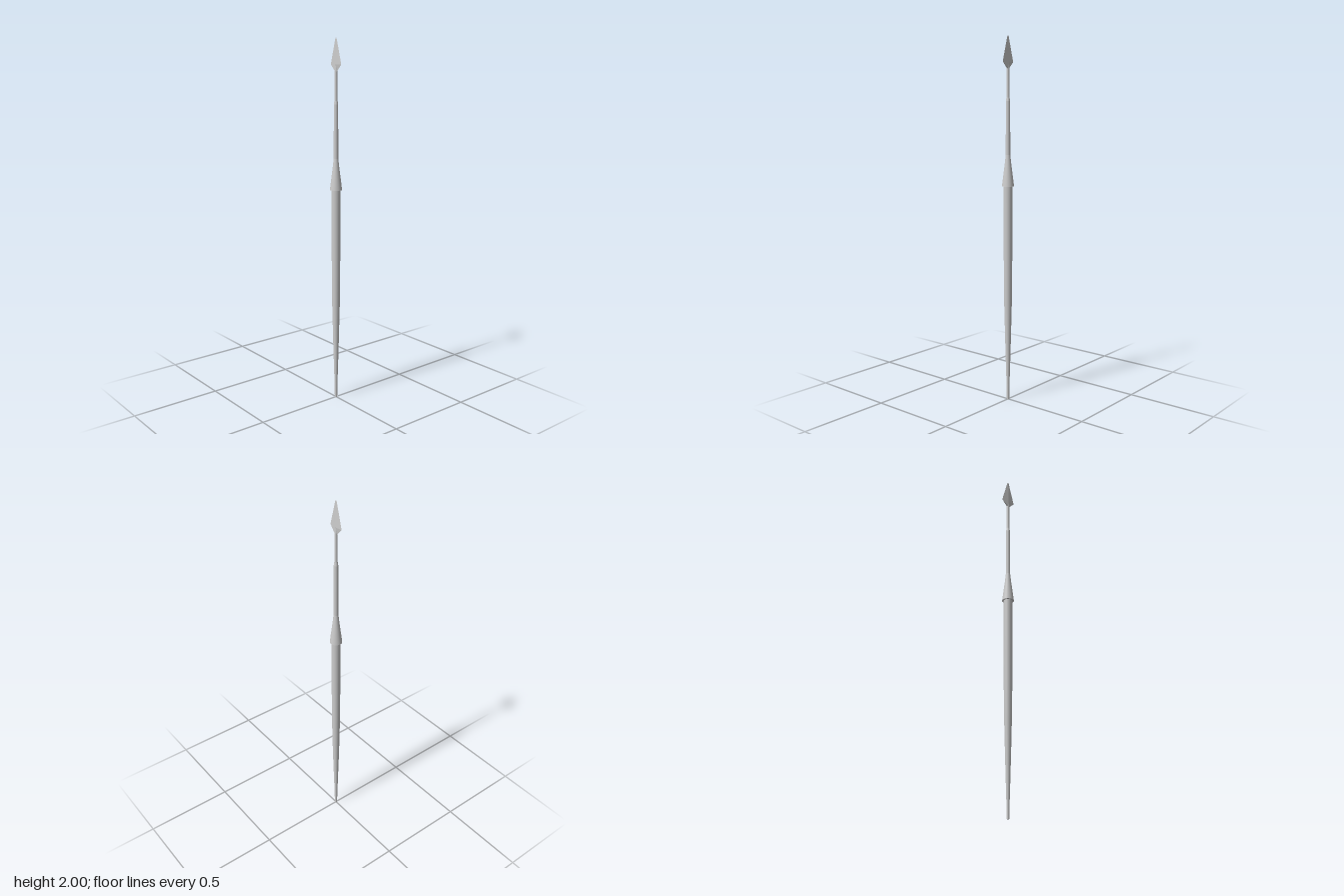
import * as THREE from 'three';

const material = new THREE.MeshStandardMaterial({ color: 0xcccccc });
const SIDES = 32;

// Round part from a [radius, y] profile, rising from bottom to top
function turned(name, profile) {
  const points = profile.map(([r, y]) => new THREE.Vector2(r, y));
  const mesh = new THREE.Mesh(new THREE.LatheGeometry(points, SIDES), material);
  mesh.name = name;
  return mesh;
}

// Flat disc closing an end, facing up or down
function cap(name, radius, y, up) {
  const mesh = new THREE.Mesh(new THREE.CircleGeometry(radius, SIDES), material);
  mesh.rotation.x = up ? -Math.PI / 2 : Math.PI / 2;
  mesh.position.y = y;
  mesh.name = name;
  return mesh;
}

// Flat blade with a diamond section; rows are [half width, half thickness, y]
function blade(rows) {
  const points = rows.map(([w, , y]) => new THREE.Vector2(w, y));
  const geometry = new THREE.LatheGeometry(points, 4);
  const pos = geometry.attributes.position;
  for (let i = 0; i < pos.count; i++) {
    const [w, t] = rows[i % rows.length];
    pos.setZ(i, w > 0 ? pos.getZ(i) * t / w : 0);
  }
  geometry.computeVertexNormals();
  const flat = material.clone();
  flat.flatShading = true;
  const mesh = new THREE.Mesh(geometry, flat);
  mesh.name = 'spearHead';
  return mesh;
}

export function createModel() {
  const group = new THREE.Group();
  group.name = 'spear';

  // Wooden shaft, tapering to a narrow butt
  group.add(
    cap('buttEnd', 0.007, 0, false),
    turned('butt', [[0.007, 0], [0.0085, 0.09]]),
    turned('shaft', [[0.0085, 0.09], [0.012, 0.2], [0.0165, 0.36], [0.021, 0.54],
      [0.023, 0.72], [0.0243, 0.95], [0.025, 1.21]]),
  );

  // Flared socket gripping the top of the shaft
  group.add(
    cap('socketRim', 0.033, 1.2, false),
    turned('socket', [[0.033, 1.2], [0.027, 1.25], [0.018, 1.32], [0.0125, 1.37]]),
  );

  // Iron shank, stepping down in width towards the head
  group.add(
    turned('shank', [[0.0125, 1.37], [0.0115, 1.655]]),
    turned('shankStep', [[0.0115, 1.655], [0.0085, 1.675]]),
    turned('neck', [[0.0085, 1.675], [0.0075, 1.83]]),
    turned('neckTip', [[0.0075, 1.83], [0.005, 1.865], [0, 1.915]]),
  );

  // Leaf-shaped point
  group.add(blade([
    [0, 0, 1.825], [0.009, 0.007, 1.826], [0.043, 0.006, 1.861],
    [0.025, 0.004, 1.925], [0.006, 0.0015, 1.991], [0, 0, 2],
  ]));

  return group;
}
